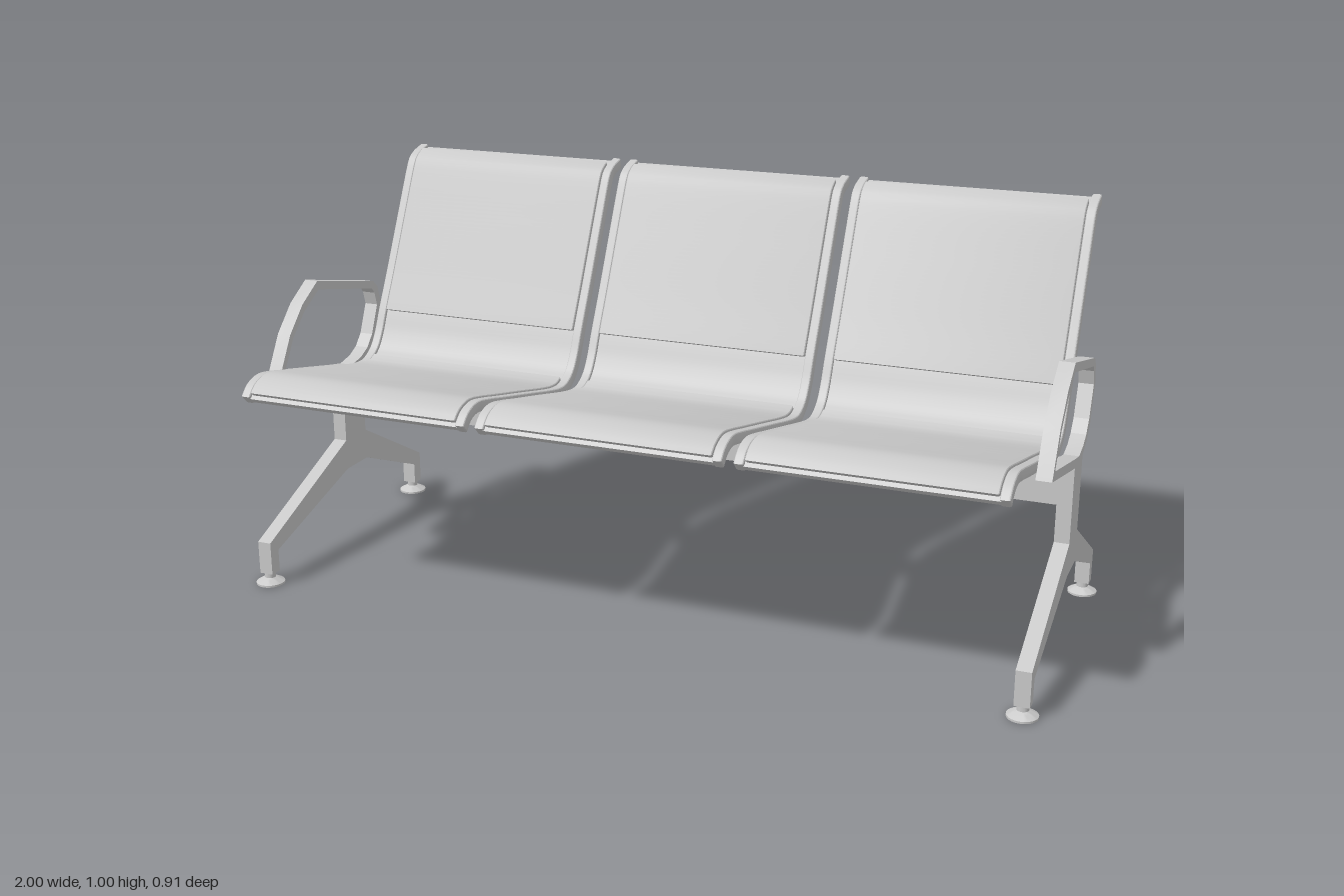
import * as THREE from 'three';
import { toCreasedNormals } from 'three/addons/utils/BufferGeometryUtils.js';

const metal = new THREE.MeshStandardMaterial({ color: 0xcacaca });
metal.name = 'light grey metal';

const toV = (list) => list.map(([z, y]) => new THREE.Vector2(z, y));

// Extrudes a (z, y) side profile along x, centred on x = 0
function sideExtrude(points, width, { hole, bevel = 0, crease = 0.5 } = {}) {
  const shape = new THREE.Shape(points);
  if (hole) shape.holes.push(new THREE.Path(hole));
  const depth = width - 2 * bevel;
  const geo = new THREE.ExtrudeGeometry(shape, {
    depth, bevelEnabled: bevel > 0, bevelSize: bevel, bevelThickness: bevel,
    bevelOffset: -bevel, bevelSegments: 3,
  });
  geo.translate(0, 0, -depth / 2);
  geo.rotateY(-Math.PI / 2);
  return toCreasedNormals(geo, crease);
}

function part(name, geo, x = 0, y = 0, z = 0) {
  const mesh = new THREE.Mesh(geo, metal);
  mesh.name = name;
  mesh.position.set(x, y, z);
  return mesh;
}

// Side curve of the seat, from front lip to the top of the back
const seatCurve = new THREE.SplineCurve(toV([
  [0.45, 0.525], [0.425, 0.549], [0.385, 0.559], [0.33, 0.55], [0.27, 0.536],
  [0.13, 0.504], [0, 0.474], [-0.06, 0.464], [-0.1, 0.468], [-0.14, 0.491],
  [-0.17, 0.532], [-0.198, 0.59], [-0.25, 0.69], [-0.32, 0.83], [-0.378, 0.945],
  [-0.395, 0.967], [-0.415, 0.977], [-0.45, 0.986],
]));
const samples = Array.from({ length: 111 }, (_, i) => {
  const p = seatCurve.getPointAt(i / 110);
  const t = seatCurve.getTangentAt(i / 110);
  return { p, n: new THREE.Vector2(t.y, -t.x) };
});

// Closed band around the seat curve between two offsets
function band(low, high, keep = () => true) {
  const used = samples.filter((s) => keep(s.p));
  const at = (s, d) => s.p.clone().addScaledVector(s.n, d);
  return [...used.map((s) => at(s, low)), ...used.map((s) => at(s, high)).reverse()];
}

// Curved support under each seat
const bracketProfile = toV([
  [0.15, 0.508], [0.151, 0.482], [0.14, 0.468], [-0.01, 0.405], [-0.11, 0.405],
  [-0.14, 0.415], [-0.168, 0.438], [-0.195, 0.49], [-0.217, 0.53], [-0.224, 0.555],
  [-0.215, 0.561], [-0.188, 0.567], [-0.168, 0.528], [-0.138, 0.489],
  [-0.1, 0.467], [-0.06, 0.463], [0, 0.474],
]);

// Leg, column and armrest in one outline, with the armrest opening
const frameProfile = toV([
  [-0.01, 0.455], [-0.01, 0.27], [0.365, 0.115], [0.365, 0.03], [0.332, 0.03],
  [0.332, 0.086], [-0.01, 0.19], [-0.108, 0.19], [-0.357, 0.086], [-0.357, 0.03],
  [-0.39, 0.03], [-0.39, 0.111], [-0.108, 0.27], [-0.108, 0.455], [-0.155, 0.478],
  [-0.187, 0.51], [-0.221, 0.6], [-0.206, 0.65], [-0.187, 0.668], [0.082, 0.731],
  [0.154, 0.687], [0.217, 0.623], [0.277, 0.52],
]);
const frameHole = toV([
  [0.25, 0.536], [0.204, 0.612], [0.148, 0.667], [0.078, 0.708], [-0.178, 0.65],
  [-0.19, 0.635], [-0.2, 0.6], [-0.167, 0.525], [-0.14, 0.495], [-0.108, 0.478],
  [-0.06, 0.468], [-0.01, 0.478],
]);

const footProfile = toV([
  [0, 0], [0.036, 0], [0.036, 0.005], [0.022, 0.013], [0.014, 0.017], [0.014, 0.032], [0, 0.032],
]);

export function createModel() {
  const model = new THREE.Group();
  model.name = 'threeSeatBench';

  // Shared seat geometries
  const shell = sideExtrude(band(-0.009, 0.006), 0.57);
  const rail = sideExtrude(band(-0.014, 0.014), 0.024, { bevel: 0.005 });
  const seatPad = sideExtrude(band(0.002, 0.018, (p) => p.x > -0.115 && p.x < 0.445), 0.555, { bevel: 0.005 });
  const backPad = sideExtrude(band(0.002, 0.018, (p) => p.y > 0.585 && p.x > -0.425), 0.555, { bevel: 0.005 });
  const bracket = sideExtrude(bracketProfile, 0.135);

  for (const x of [-0.63, 0, 0.63]) {
    const seat = new THREE.Group();
    seat.name = 'seat';
    seat.position.x = x;
    seat.add(
      part('seatShell', shell),
      part('seatPad', seatPad),
      part('backPad', backPad),
      part('seatBracket', bracket),
    );
    for (const s of [-1, 1]) seat.add(part('sideRail', rail, s * 0.29));
    model.add(seat);
  }

  // Beam joining the two end frames
  model.add(part('crossBeam', new THREE.BoxGeometry(1.9, 0.1, 0.05), 0, 0.4, -0.066));

  // End frames with feet
  const frame = sideExtrude(frameProfile, 0.036, { hole: frameHole, crease: 0.3 });
  const foot = toCreasedNormals(new THREE.LatheGeometry(footProfile, 24), 0.4);
  for (const s of [-1, 1]) {
    const end = new THREE.Group();
    end.name = s > 0 ? 'leftEndFrame' : 'rightEndFrame';
    end.position.x = s * 0.964;
    end.add(
      part('legAndArmrest', frame),
      part('frontFoot', foot, 0, 0, 0.348),
      part('rearFoot', foot, 0, 0, -0.374),
    );
    model.add(end);
  }
  return model;
}
